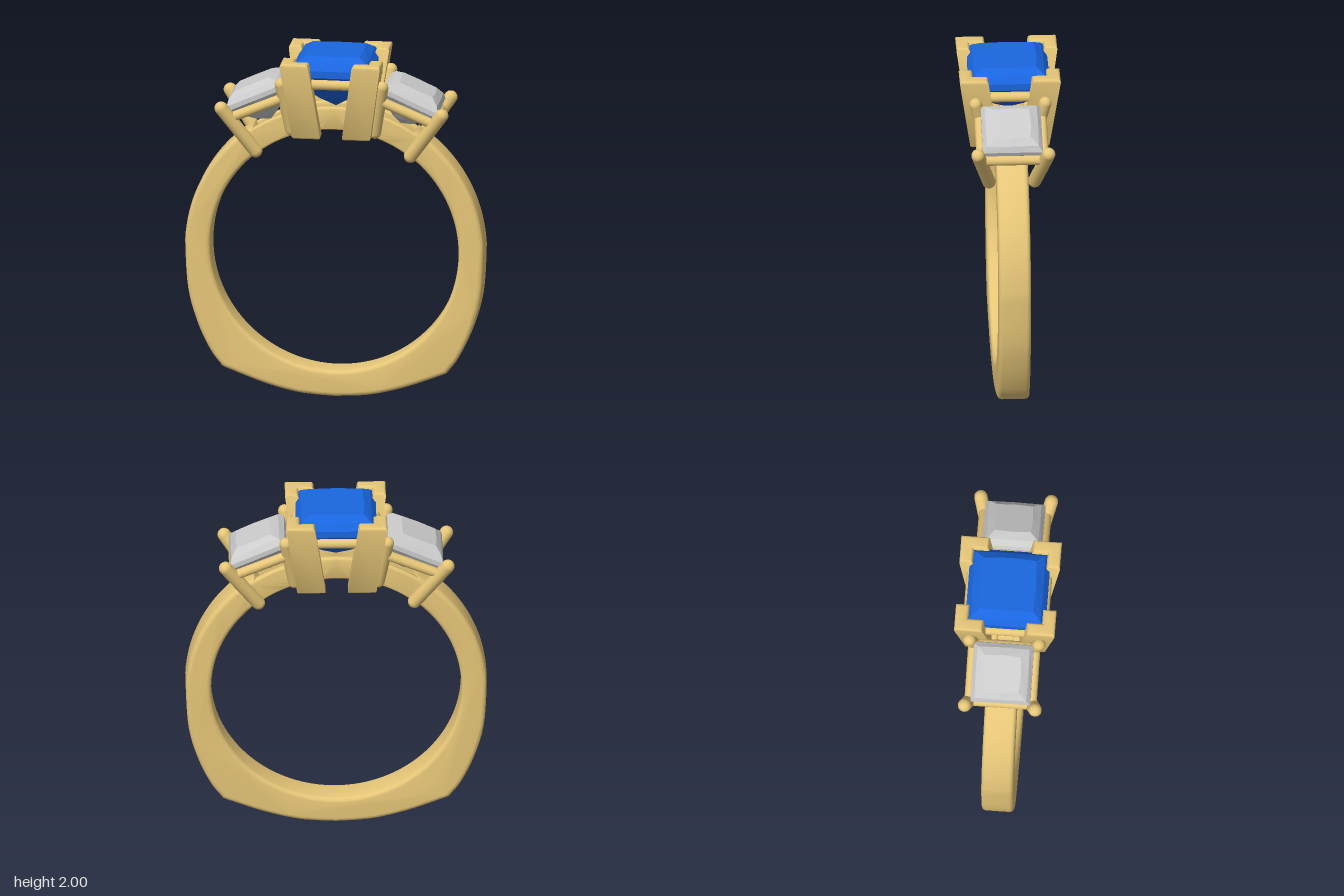
import * as THREE from 'three';
import { toCreasedNormals } from 'three/addons/utils/BufferGeometryUtils.js';

const gold = new THREE.MeshStandardMaterial({ color: 0xe6c678 });
const blue = new THREE.MeshStandardMaterial({ color: 0x1a66e0, flatShading: true });
const grey = new THREE.MeshStandardMaterial({ color: 0xcccccc, flatShading: true });
const CY = 0.855, INNER = 0.7;
const V = (x, y, z) => new THREE.Vector3(x, y, z);
const rad = THREE.MathUtils.degToRad;

function add(parent, name, geo, mat) {
  const mesh = new THREE.Mesh(geo, mat);
  mesh.name = name;
  parent.add(mesh);
  return mesh;
}

// points on a circle around the finger hole
function arc(r, from, to, n) {
  return Array.from({ length: n + 1 }, (_, i) => {
    const a = rad(from + (to - from) * i / n);
    return new THREE.Vector2(r * Math.cos(a), CY + r * Math.sin(a));
  });
}

// rounded-edge slab centred on z = 0
function slab(points, width, bevel) {
  const geo = new THREE.ExtrudeGeometry(new THREE.Shape(points), {
    depth: width - 2 * bevel, bevelEnabled: true, bevelSize: bevel,
    bevelThickness: bevel, bevelOffset: -bevel, bevelSegments: 4,
  });
  geo.translate(0, 0, bevel - width / 2);
  return toCreasedNormals(geo, rad(35));
}

// rod with round ends between two points
function rod(parent, name, a, b, r) {
  const dir = b.clone().sub(a);
  const mesh = add(parent, name, new THREE.CapsuleGeometry(r, dir.length(), 6, 16), gold);
  mesh.position.copy(a).add(b).multiplyScalar(0.5);
  mesh.quaternion.setFromUnitVectors(V(0, 1, 0), dir.normalize());
}

// square-cut stone: rings of [half width, height, edge bulge], bottom to top
function gem(rings, culet) {
  const ring = ([w, y, bulge]) => Array.from({ length: 8 }, (_, i) => {
    const a = i * Math.PI / 4;
    const r = i % 2 ? w * Math.SQRT2 : w * bulge;
    return V(r * Math.sin(a), y, r * Math.cos(a));
  });
  const loops = rings.map(ring), top = loops[loops.length - 1], pts = [];
  for (let i = 0; i < 8; i++) {
    const j = (i + 1) % 8;
    pts.push(V(0, culet, 0), loops[0][j], loops[0][i]);
    for (let k = 0; k + 1 < loops.length; k++) {
      const [a, b, c, d] = [loops[k][i], loops[k][j], loops[k + 1][j], loops[k + 1][i]];
      pts.push(a, b, c, a, c, d);
    }
    pts.push(V(0, top[0].y, 0), top[i], top[j]);
  }
  const geo = new THREE.BufferGeometry().setFromPoints(pts);
  geo.computeVertexNormals();
  return geo;
}

function makeBand(group) {
  // outer flank from the shoulder to the lower corner, then the shallow base
  const flank = new THREE.SplineCurve([...arc(0.842, 57, 0, 8),
    new THREE.Vector2(0.825, 0.6), new THREE.Vector2(0.77, 0.4),
    new THREE.Vector2(0.7, 0.25), new THREE.Vector2(0.645, 0.175)]).getPoints(60);
  const base = new THREE.SplineCurve([[0.615, 0.15], [0.4, 0.07], [0.2, 0.02], [0, 0.005]]
    .map(p => new THREE.Vector2(...p))).getPoints(20);
  const half = [...flank, new THREE.Vector2(0.635, 0.16), ...base];
  const mirrored = half.slice(0, -1).reverse().map(p => new THREE.Vector2(-p.x, p.y));
  const outline = [...half, ...mirrored, ...arc(INNER, 123, 417, 110)];
  add(group, 'band', slab(outline, 0.18, 0.025), gold);

  // twin gallery rails closing the top of the band
  const rail = [...arc(0.83, 53, 127, 32), ...arc(INNER, 127, 53, 32)];
  for (const s of [-1, 1]) {
    add(group, 'galleryRail', slab(rail, 0.045, 0.012), gold).position.z = s * 0.067;
  }
}

function makeCentreSetting(group) {
  const setting = new THREE.Group();
  setting.name = 'centreSetting';
  group.add(setting);

  // L-shaped corner prong, leaning outward
  const o = 0.285, t = 0.075, e = 0.125, y0 = 1.53, h = 0.45, b = 0.018;
  const L = new THREE.Shape([[o, o], [e, o], [e, o - t], [o - t, o - t], [o - t, e], [o, e]]
    .map(p => new THREE.Vector2(...p)));
  let prong = new THREE.ExtrudeGeometry(L, { depth: h - 2 * b, bevelEnabled: true,
    bevelSize: b, bevelThickness: b, bevelOffset: -b, bevelSegments: 4 });
  prong.rotateX(-Math.PI / 2);
  prong.translate(0, y0 + b, 0);
  const p = prong.attributes.position;
  for (let i = 0; i < p.count; i++) {
    const lean = 0.065 * (1 - (p.getY(i) - y0) / h);
    p.setX(i, p.getX(i) - lean);
    p.setZ(i, p.getZ(i) + lean);
  }
  prong = toCreasedNormals(prong, rad(35));
  for (let k = 0; k < 4; k++) {
    add(setting, 'cornerProng', prong, gold).rotation.y = k * Math.PI / 2;
  }

  // upper gallery frame and lower cross bars
  for (const s of [-1, 1]) {
    rod(setting, 'frameBar', V(-0.21, 1.85, s * 0.21), V(0.21, 1.85, s * 0.21), 0.03);
    rod(setting, 'frameBar', V(s * 0.22, 1.85, -0.21), V(s * 0.22, 1.85, 0.21), 0.03);
    rod(setting, 'crossBar', V(s * 0.16, 1.6, -0.16), V(s * 0.16, 1.6, 0.16), 0.03);
  }

  const stone = gem([[0.085, -0.16, 1.1], [0.165, -0.08, 1.05], [0.225, -0.01, 1],
    [0.225, 0.03, 1], [0.195, 0.07, 1.02], [0.15, 0.1, 1.06]], -0.225);
  add(setting, 'centreStone', stone, blue).position.y = 1.9;
}

function makeSideSetting(group, s) {
  const setting = new THREE.Group();
  setting.name = s > 0 ? 'leftSetting' : 'rightSetting';
  group.add(setting);

  const stone = add(setting, 'sideStone', gem([[0.06, -0.135, 1.1], [0.12, -0.07, 1.05],
    [0.168, -0.012, 1], [0.168, 0.015, 1], [0.145, 0.045, 1.02], [0.1, 0.07, 1.06]], -0.175), grey);
  stone.position.set(s * 0.437, 1.745, 0);
  stone.rotation.z = -s * rad(24);

  // four round prongs with a tilted frame between them
  for (const f of [-1, 1]) {
    rod(setting, 'outerProng', V(s * 0.622, 1.69, f * 0.198), V(s * 0.437, 1.43, f * 0.128), 0.038);
    rod(setting, 'innerProng', V(s * 0.285, 1.84, f * 0.195), V(s * 0.235, 1.56, f * 0.125), 0.036);
    rod(setting, 'sideRail', V(s * 0.57, 1.632, f * 0.175), V(s * 0.275, 1.755, f * 0.175), 0.028);
  }
  rod(setting, 'outerRail', V(s * 0.57, 1.632, -0.175), V(s * 0.57, 1.632, 0.175), 0.03);
  rod(setting, 'innerRail', V(s * 0.275, 1.755, -0.175), V(s * 0.275, 1.755, 0.175), 0.03);
}

export function createModel() {
  const group = new THREE.Group();
  group.name = 'threeStoneRing';
  makeBand(group);
  makeCentreSetting(group);
  for (const s of [-1, 1]) makeSideSetting(group, s);
  return group;
}
